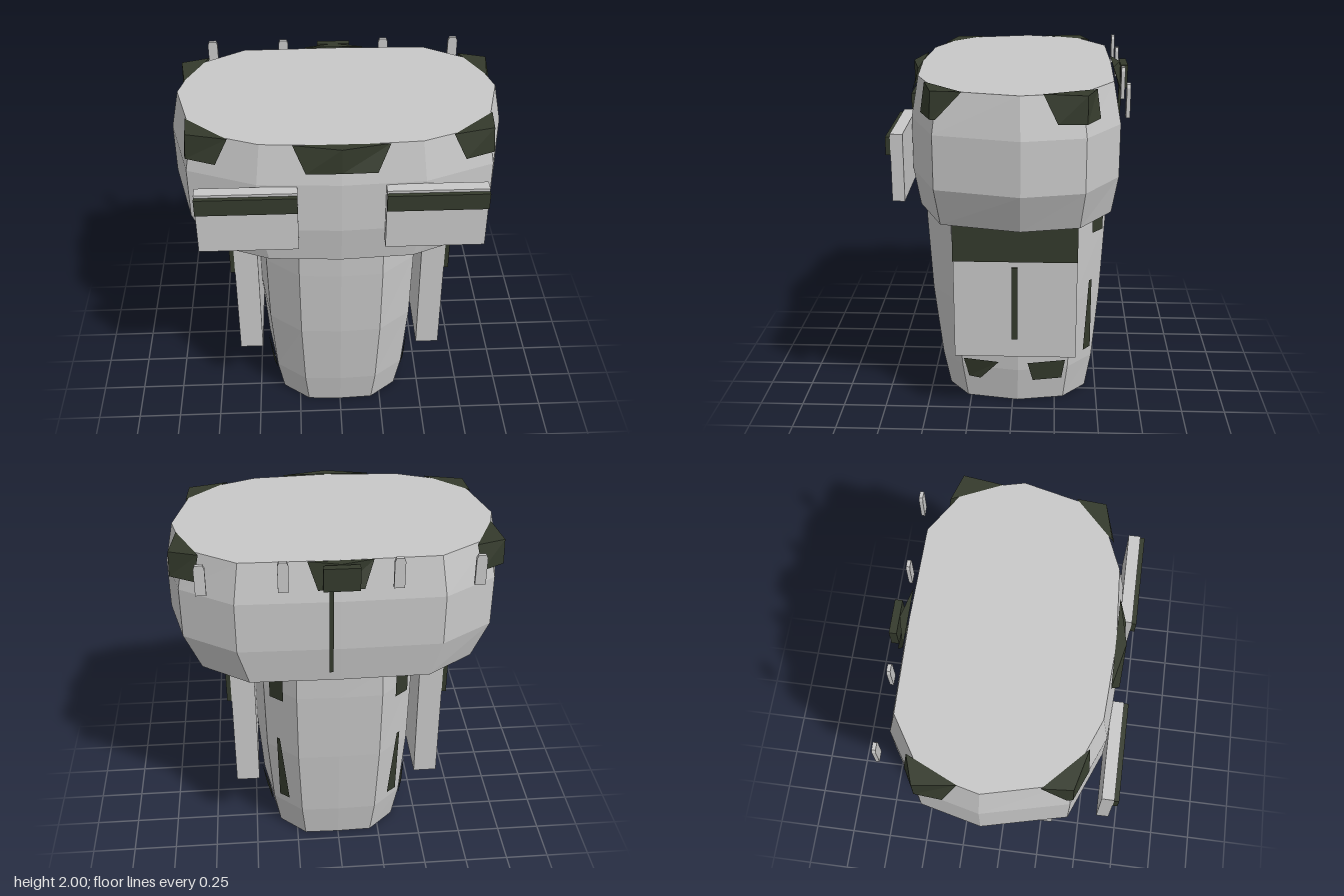
import * as THREE from 'three';

const grey = new THREE.MeshStandardMaterial({ color: 0xc8c8c8, flatShading: true, side: THREE.DoubleSide });
grey.name = 'light grey';
const olive = new THREE.MeshStandardMaterial({ color: 0x343a2c, flatShading: true, side: THREE.DoubleSide });
olive.name = 'dark olive';

function meshFrom(name, verts, index, material) {
  const g = new THREE.BufferGeometry();
  g.setAttribute('position', new THREE.Float32BufferAttribute(verts.flat(), 3));
  g.setIndex(index);
  const flat = g.toNonIndexed();
  flat.computeVertexNormals();
  const m = new THREE.Mesh(flat, material);
  m.name = name;
  return m;
}

// Loft of mirrored half outlines, listed from front centre round to back centre
function loft(name, rings, material) {
  const verts = [], index = [];
  let n = 0;
  for (const [y, half] of rings) {
    const mirrored = half.slice(1, -1).reverse().map(([x, z]) => [-x, z]);
    const ring = [...half, ...mirrored];
    n = ring.length;
    ring.forEach(([x, z]) => verts.push([x, y, z]));
  }
  for (let i = 0; i < rings.length - 1; i++) {
    for (let j = 0; j < n; j++) {
      const a = i * n + j, b = i * n + (j + 1) % n;
      index.push(a, b, b + n, a, b + n, a + n);
    }
  }
  const top = (rings.length - 1) * n;
  for (let j = 1; j < n - 1; j++) {
    index.push(0, j + 1, j);
    index.push(top, top + j, top + j + 1);
  }
  return meshFrom(name, verts, index, material);
}

// Painted panel between a top row and a bottom row of points, optionally capped
function panel(name, top, bottom, cap = false) {
  const n = top.length, index = [];
  for (let i = 0; i < n - 1; i++) {
    index.push(n + i, n + i + 1, i + 1, n + i, i + 1, i);
  }
  if (cap) index.push(0, 1, 2);
  return meshFrom(name, [...top, ...bottom], index, olive);
}

// Box given by its lower and upper corners
function box(name, [x0, y0, z0], [x1, y1, z1], material) {
  const m = new THREE.Mesh(new THREE.BoxGeometry(x1 - x0, y1 - y0, z1 - z0), material);
  m.position.set((x0 + x1) / 2, (y0 + y1) / 2, (z0 + z1) / 2);
  m.name = name;
  return m;
}

export function createModel() {
  const model = new THREE.Group();
  model.name = 'torso';

  // Chest
  const chest = [[0, 0.565], [0.44, 0.54], [0.81, 0.39], [0.92, -0.06], [0.84, -0.39], [0.55, -0.575], [0, -0.585]];
  const scaled = (sx, sz) => chest.map(([x, z]) => [x * sx, z * sz]);
  model.add(loft('chest', [
    [1.24, scaled(0.895, 0.945)],
    [1.46, scaled(1, 1)],
    [1.75, scaled(1, 1)],
    [1.97, scaled(0.95, 0.93)],
  ], grey));

  // Abdomen, tapering to the waist
  const belly = [[0, 0.4], [0.195, 0.39], [0.35, 0.27], [0.4, -0.03], [0.35, -0.3], [0.2, -0.435], [0, -0.44]];
  const taper = [[0, 1, 1, 1], [0.22, 1.1, 1.1, 1.08], [0.66, 1.18, 1.22, 1.16], [1.1, 1.2, 1.28, 1.21], [1.26, 1.19, 1.29, 1.21]];
  model.add(loft('abdomen', taper.map(([y, sx, front, back]) =>
    [y, belly.map(([x, z]) => [x * sx, z * (z > 0 ? front : back)])]), grey));

  // Front and back collar patches
  const wedge = (name, w, w2, z, zEdge) => {
    const s = Math.sign(z);
    model.add(panel(name,
      [[-w * s, 1.973, zEdge], [0, 1.973, z], [w * s, 1.973, zEdge]],
      [[-w2 * s, 1.83, zEdge + s * 0.05], [0, 1.83, z], [w2 * s, 1.83, zEdge + s * 0.05]], true));
  };
  wedge('frontCollarPatch', 0.25, 0.185, 0.577, 0.522);
  wedge('backCollarPatch', 0.17, 0.12, -0.594, -0.55);

  for (const s of [1, -1]) {
    const side = new THREE.Group();
    side.name = s > 0 ? 'leftSide' : 'rightSide';
    const flip = pts => pts.map(([x, y, z]) => [x * s, y, z]);
    const ordered = pts => (s > 0 ? flip(pts) : flip(pts).reverse());
    const patch = (name, top, bottom, cap) => side.add(panel(name, ordered(top), ordered(bottom), cap));
    const block = (name, a, b, mat) => side.add(s > 0 ? box(name, a, b, mat)
      : box(name, [-b[0], a[1], a[2]], [-a[0], b[1], b[2]], mat));

    // Chest pouch with flap
    block('chestPouch', [0.23, 1.38, 0.545], [0.76, 1.74, 0.61], grey);
    block('chestPouchFlap', [0.23, 1.63, 0.61], [0.76, 1.725, 0.635], olive);

    // Side pouch with flap and strap
    block('sidePouch', [0.47, 0.4, -0.365], [0.605, 1.235, 0.32], grey);
    block('sidePouchFlap', [0.605, 0.99, -0.365], [0.63, 1.2, 0.32], olive);
    block('sidePouchStrap', [0.605, 0.515, -0.037], [0.62, 0.95, -0.004], olive);

    // Shoulder corner patches
    patch('frontShoulderPatch',
      [[0.58, 1.973, 0.45], [0.797, 1.973, 0.395], [0.81, 1.973, 0.235]],
      [[0.65, 1.83, 0.465], [0.808, 1.83, 0.4], [0.815, 1.83, 0.37]], true);
    patch('backShoulderPatch',
      [[0.845, 1.973, -0.17], [0.875, 1.973, -0.39], [0.72, 1.973, -0.44]],
      [[0.892, 1.83, -0.245], [0.88, 1.83, -0.39], [0.75, 1.83, -0.46]], true);

    // Waist patches
    patch('frontWaistPatch',
      [[0.4, 0.275, 0.29], [0.445, 0.275, 0.08]],
      [[0.387, 0.15, 0.26], [0.412, 0.15, 0.19]]);
    patch('backWaistPatch',
      [[0.453, 0.275, -0.09], [0.405, 0.275, -0.31]],
      [[0.428, 0.15, -0.12], [0.392, 0.15, -0.29]]);

    // Patch and tapered strip on the back quarter
    patch('backQuarterPatch',
      [[0.388, 1.24, -0.45], [0.315, 1.24, -0.51]],
      [[0.388, 1.075, -0.45], [0.315, 1.075, -0.51]]);
    patch('backQuarterStrip',
      [[0.357, 0.77, -0.44], [0.34, 0.77, -0.455]],
      [[0.35, 0.315, -0.415], [0.295, 0.315, -0.458]]);

    // Upright tabs along the upper back
    for (const x of [0.295, 0.71]) {
      const tab = new THREE.Shape([[-0.028, 0], [0.028, 0], [0.028, 0.15], [0.02, 0.17], [-0.02, 0.17], [-0.028, 0.15]]
        .map(([u, v]) => new THREE.Vector2(u, v)));
      const m = new THREE.Mesh(new THREE.ExtrudeGeometry(tab, { depth: 0.02, bevelEnabled: false }), grey);
      m.position.set(x * s, 1.83, -0.605);
      m.name = 'backTab';
      side.add(m);
    }
    model.add(side);
  }

  // Grab handle and hanging strap on the back
  model.add(box('backHandle', [-0.095, 1.84, -0.635], [0.095, 1.97, -0.595], olive));
  const strap = box('backStrap', [0.04, 1.32, -0.6], [0.062, 1.85, -0.585], olive);
  strap.rotation.x = -0.02;
  model.add(strap);
  return model;
}
